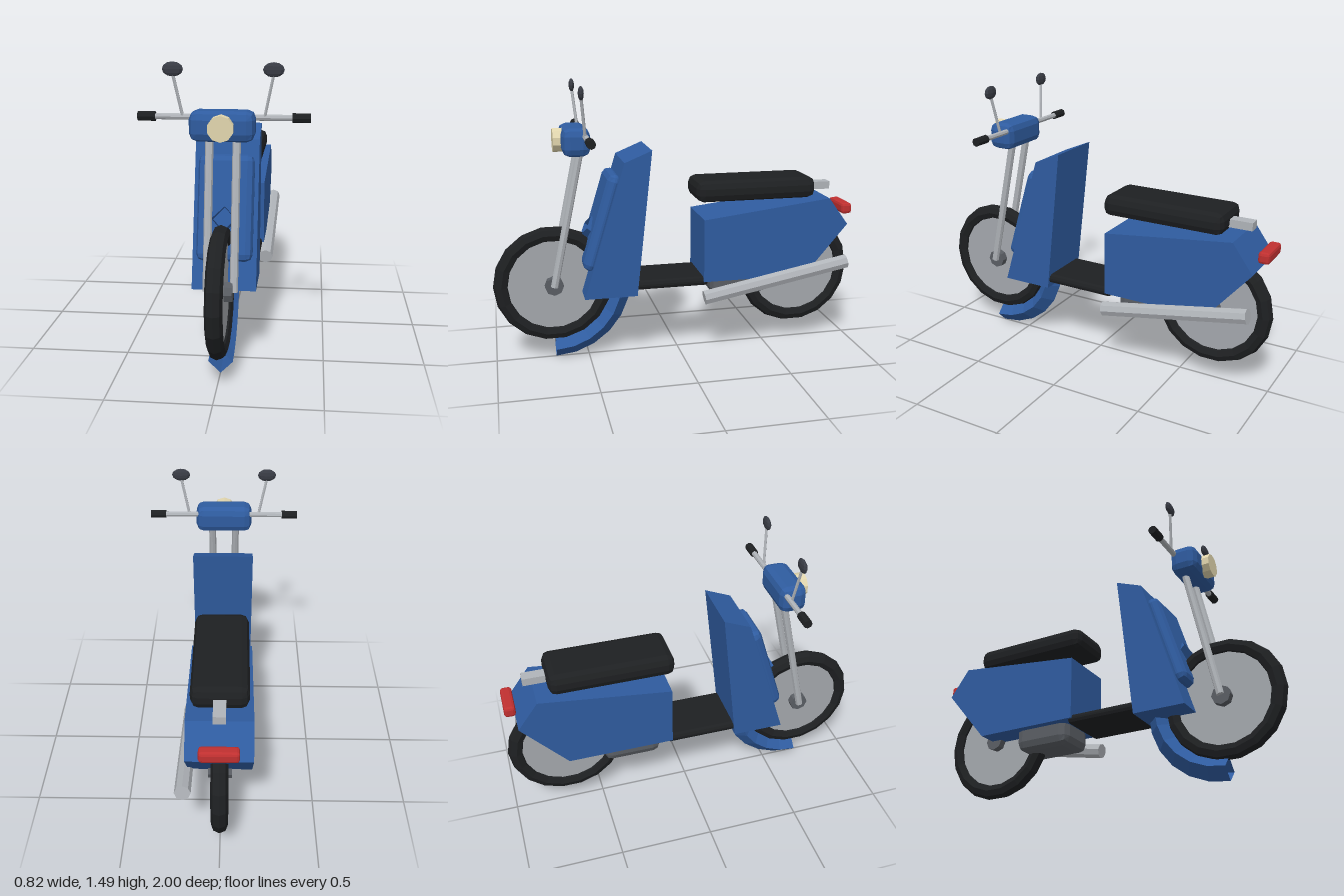
import * as THREE from 'three';
import { RoundedBoxGeometry } from 'three/addons/geometries/RoundedBoxGeometry.js';

const mat = (color, side = THREE.FrontSide) =>
  new THREE.MeshStandardMaterial({ color, flatShading: true, side });
const blue = mat(0x2f5ca0);
const blueOpen = mat(0x2f5ca0, THREE.DoubleSide);
const black = mat(0x1e2022);
const steel = mat(0xb0b4b9);
const disc = mat(0xa4a8ad);
const darkGrey = mat(0x5a5e64);
const mirrorGrey = mat(0x3a3d46);
const cream = mat(0xe2d6ae);
const red = mat(0xc03030);

export function createModel() {
  const model = new THREE.Group();

  const add = (name, geometry, material, x = 0, y = 0, z = 0, parent = model) => {
    const mesh = new THREE.Mesh(geometry, material);
    mesh.name = name;
    mesh.position.set(x, y, z);
    parent.add(mesh);
    return mesh;
  };

  // Straight rod between two points
  const rod = (name, a, b, radius, sides, material) => {
    const start = new THREE.Vector3(...a), end = new THREE.Vector3(...b);
    const dir = end.clone().sub(start);
    const mesh = add(name, new THREE.CylinderGeometry(radius, radius, dir.length(), sides), material);
    mesh.position.copy(start).add(end).multiplyScalar(0.5);
    mesh.quaternion.setFromUnitVectors(new THREE.Vector3(0, 1, 0), dir.normalize());
    return mesh;
  };

  // Side profile of [z, y] points, extruded across the width
  const panel = (name, points, width) => {
    const shape = new THREE.Shape(points.map(p => new THREE.Vector2(...p)));
    const geometry = new THREE.ExtrudeGeometry(shape, { depth: width, bevelEnabled: false });
    geometry.translate(0, 0, -width / 2).rotateY(-Math.PI / 2);
    return add(name, geometry, blue);
  };

  // Box with chamfered edges
  const block = (name, w, h, d, r, material, x, y, z) =>
    add(name, new RoundedBoxGeometry(w, h, d, 1, r), material, x, y, z);

  // Wheels
  for (const [name, z] of [['frontWheel', 0.68], ['rearWheel', -0.68]]) {
    const wheel = new THREE.Group();
    wheel.name = name;
    wheel.position.set(0, 0.42, z);
    model.add(wheel);
    add('tire', new THREE.TorusGeometry(0.278, 0.042, 8, 18).rotateY(-Math.PI / 2), black, 0, 0, 0, wheel);
    add('wheelDisc', new THREE.CylinderGeometry(0.25, 0.25, 0.04, 18).rotateZ(Math.PI / 2), disc, 0, 0, 0, wheel);
    add('hub', new THREE.CylinderGeometry(0.05, 0.05, 0.12, 8).rotateZ(Math.PI / 2), darkGrey, 0, 0, 0, wheel);
  }

  // Mudguard with a diamond section, curling behind the front wheel
  const guard = new THREE.TorusGeometry(0.36, 0.06, 4, 10, Math.PI * 5 / 6);
  guard.rotateZ(Math.PI * 2 / 3).rotateY(-Math.PI / 2);
  add('frontMudguard', guard, blueOpen, 0, 0.42, 0.68);

  // Body panels
  panel('legShield', [[0.53, 0.37], [0.31, 1.09], [0.165, 1.15], [0.25, 0.37]], 0.32);
  panel('rearBody', [[-0.115, 0.42], [-0.115, 0.765], [-0.82, 0.85], [-0.93, 0.7], [-0.69, 0.42]], 0.32);
  const trim = block('shieldPanel', 0.28, 0.53, 0.08, 0.035, blue, 0, 0.765, 0.422);
  trim.rotation.x = -Math.atan2(0.22, 0.72);
  block('floorboard', 0.3, 0.05, 0.5, 0.02, black, 0, 0.42, 0.105);

  // Seat, grab handle and tail light
  block('seat', 0.28, 0.115, 0.665, 0.04, black, 0, 0.907, -0.418);
  add('grabHandle', new THREE.BoxGeometry(0.06, 0.042, 0.2), steel, 0, 0.896, -0.77);
  block('tailLight', 0.19, 0.06, 0.06, 0.015, red, 0, 0.769, -0.955);

  // Engine and exhaust
  block('engine', 0.24, 0.19, 0.32, 0.045, darkGrey, 0, 0.407, -0.33);
  rod('exhaust', [0.17, 0.335, -0.115], [0.175, 0.49, -0.925], 0.04, 8, steel);

  // Steering head and headlight
  block('steeringHead', 0.31, 0.145, 0.145, 0.04, blue, 0, 1.197, 0.548);
  add('headlight', new THREE.CylinderGeometry(0.062, 0.062, 0.08, 10).rotateX(Math.PI / 2), cream, 0, 1.197, 0.62);
  rod('handlebar', [-0.4, 1.23, 0.505], [0.4, 1.23, 0.505], 0.015, 8, steel);

  // Fork legs, grips and mirrors on both sides
  for (const [side, s] of [['left', 1], ['right', -1]]) {
    rod(side + 'ForkLeg', [s * 0.065, 0.42, 0.68], [s * 0.065, 1.15, 0.525], 0.02, 8, steel);
    rod(side + 'Grip', [s * 0.325, 1.23, 0.505], [s * 0.41, 1.23, 0.505], 0.023, 8, black);
    rod(side + 'MirrorStalk', [s * 0.195, 1.235, 0.51], [s * 0.237, 1.44, 0.53], 0.008, 6, steel);
    const mirror = add(side + 'Mirror', new THREE.SphereGeometry(1, 8, 6), mirrorGrey, s * 0.236, 1.456, 0.53);
    mirror.scale.set(0.05, 0.035, 0.015);
  }

  return model;
}
